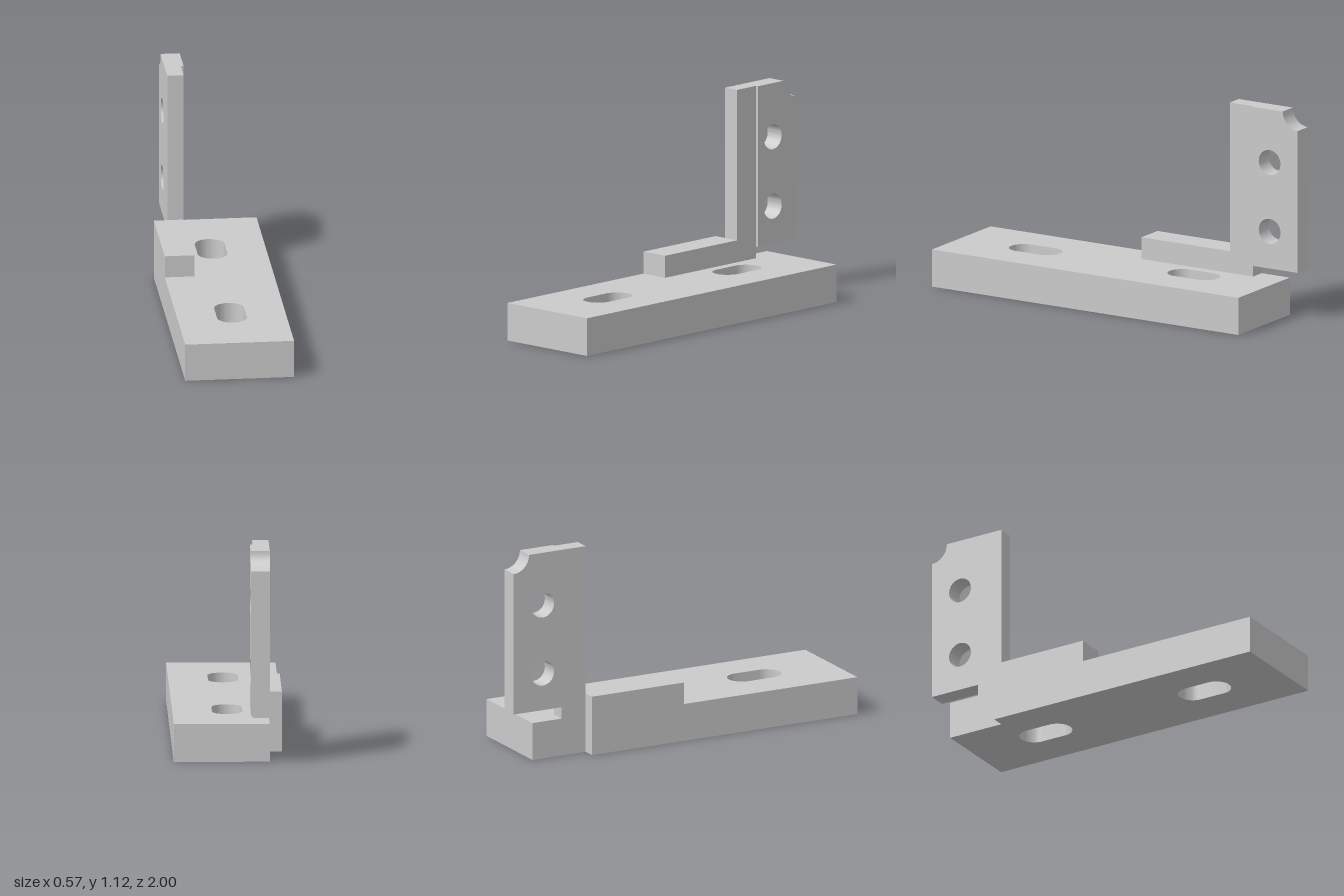
import * as THREE from 'three';
import { toCreasedNormals } from 'three/addons/utils/BufferGeometryUtils.js';

const material = new THREE.MeshStandardMaterial({ color: 0xcccccc });

function addPart(group, name, geometry) {
  const mesh = new THREE.Mesh(geometry, material);
  mesh.name = name;
  group.add(mesh);
}

// Box given by its low and high limits on each axis
function boxBetween([x0, x1], [y0, y1], [z0, z1]) {
  return new THREE.BoxGeometry(x1 - x0, y1 - y0, z1 - z0)
    .translate((x0 + x1) / 2, (y0 + y1) / 2, (z0 + z1) / 2);
}

function extrude(shape, depth) {
  return new THREE.ExtrudeGeometry(shape, { depth, bevelEnabled: false, curveSegments: 24 });
}

// Rounded slot running along the shape's y axis
function slot(y0, y1, r) {
  const path = new THREE.Path();
  path.absarc(0, y1 - r, r, 0, Math.PI, false);
  path.absarc(0, y0 + r, r, Math.PI, Math.PI * 2, false);
  path.closePath();
  return path;
}

export function createModel() {
  const group = new THREE.Group();
  group.name = 'mountingBracket';

  const side = 0.285, inset = -0.215, wall = -0.13;
  const baseTop = 0.2, top = 1.117;
  const step = -0.573, barBack = -0.715;

  // Base slab: outline in x and -z, with a stepped back corner and two slots
  const base = new THREE.Shape([
    [-side, -1], [side, -1], [side, 0.888], [inset, 0.888], [inset, -step], [-side, -step],
  ].map(([x, y]) => new THREE.Vector2(x, y)));
  base.holes.push(slot(0.285, 0.583, 0.078), slot(-0.692, -0.392, 0.078));
  addPart(group, 'base', toCreasedNormals(extrude(base, baseTop).rotateX(-Math.PI / 2), 0.5));

  // Low rail along the edge and the upright bar behind it
  addPart(group, 'rail', boxBetween([-side, wall], [baseTop, 0.317], [step, -0.028]));
  addPart(group, 'uprightBar', boxBetween([inset, wall], [baseTop, top], [barBack, step]));

  // Drilled plate: outline in -z and y, with a scooped top corner
  const r = 0.092;
  const plate = new THREE.Shape();
  plate.moveTo(-barBack, 0.262);
  plate.lineTo(1, 0.262);
  plate.lineTo(1, top - r);
  plate.absarc(1, top, r, Math.PI * 1.5, Math.PI, true);
  plate.lineTo(-barBack, top);
  plate.closePath();
  for (const y of [0.462, 0.832]) {
    plate.holes.push(new THREE.Path().absarc(0.827, y, 0.067, 0, Math.PI * 2, true));
  }
  const plateGeometry = extrude(plate, 0.1).rotateY(Math.PI / 2).translate(inset, 0, 0);
  addPart(group, 'drilledPlate', toCreasedNormals(plateGeometry, 0.5));

  return group;
}
